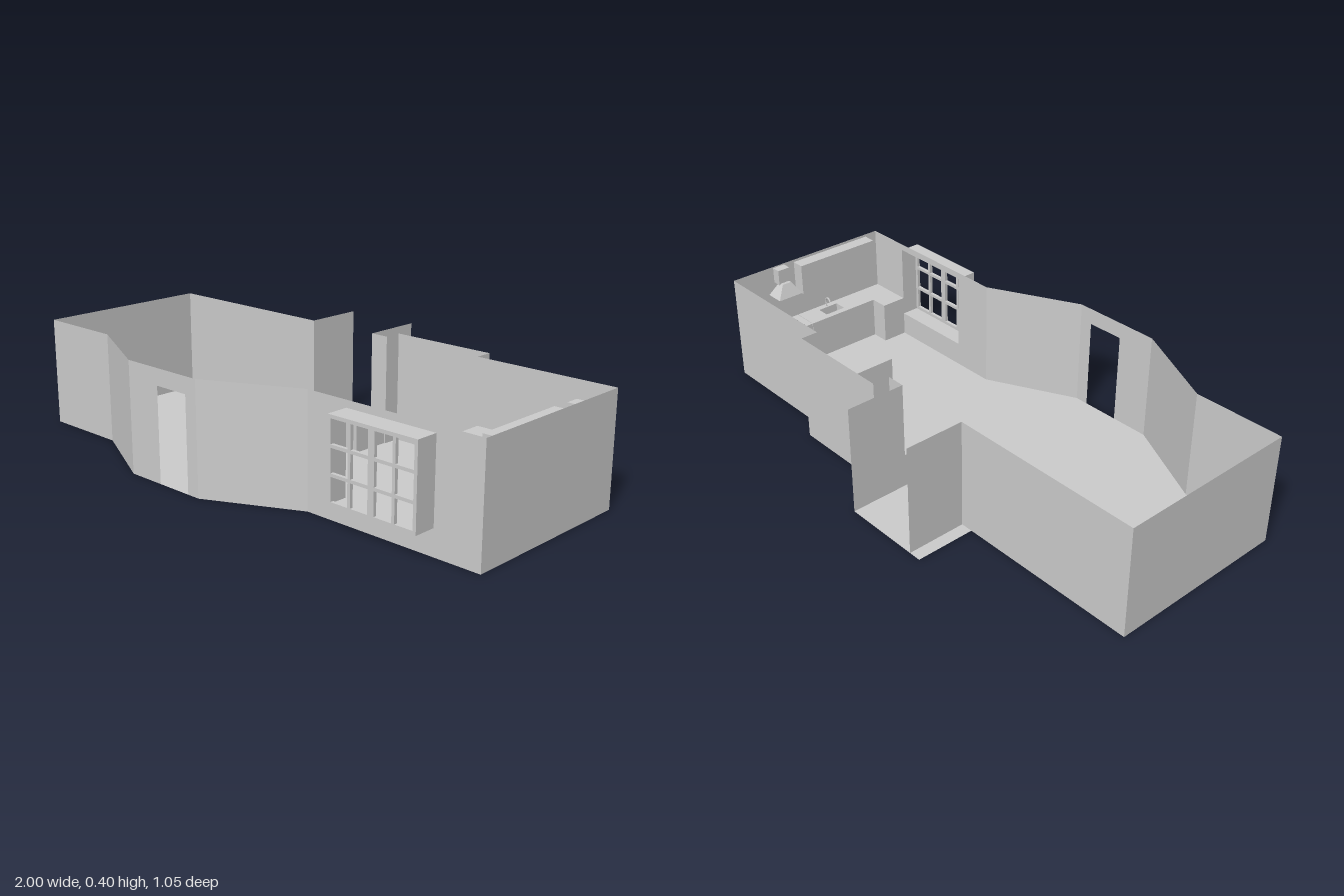
import * as THREE from 'three';
import { RoundedBoxGeometry } from 'three/addons/geometries/RoundedBoxGeometry.js';

const H = 0.4;
const solid = new THREE.MeshStandardMaterial({ color: 0xcccccc, flatShading: true });
const thin = new THREE.MeshStandardMaterial({ color: 0xcccccc, flatShading: true, side: THREE.DoubleSide });

export function createModel() {
  const root = new THREE.Group();

  const add = (name, geometry, material = solid, parent = root) => {
    const mesh = new THREE.Mesh(geometry, material);
    mesh.name = name;
    parent.add(mesh);
    return mesh;
  };
  // Box given by its limits on each axis
  const box = (name, x0, x1, y0, y1, z0, z1, parent = root) => {
    const mesh = add(name, new THREE.BoxGeometry(x1 - x0, y1 - y0, z1 - z0), solid, parent);
    mesh.position.set((x0 + x1) / 2, (y0 + y1) / 2, (z0 + z1) / 2);
    return mesh;
  };
  const group = (name) => {
    const g = new THREE.Group();
    g.name = name;
    root.add(g);
    return g;
  };
  const rect = (C, x0, x1, y0, y1) =>
    new C([[x0, y0], [x1, y0], [x1, y1], [x0, y1]].map((p) => new THREE.Vector2(...p)));

  // Floor following the wall outline, with the entrance recess at the back
  const outline = [
    [-1, -0.31], [-0.335, -0.31], [-0.335, -0.53], [0, -0.53], [0, -0.31], [0.07, -0.31],
    [0.07, -0.375], [0.47, -0.375], [0.47, -0.31], [1, -0.31], [1, 0.36], [0.33, 0.36],
    [0, 0.525], [-0.335, 0.525], [-0.67, 0.36], [-1, 0.36],
  ];
  const floorShape = new THREE.Shape(outline.map(([x, z]) => new THREE.Vector2(x, -z)));
  add('floor', new THREE.ShapeGeometry(floorShape), thin).rotation.x = -Math.PI / 2;

  // Thin walls between neighbouring plan points; an opening is [from, to, bottom, top] along the wall
  const walls = group('walls');
  const wall = ([ax, az], [bx, bz], opening) => {
    const length = Math.hypot(bx - ax, bz - az);
    let shape = rect(THREE.Shape, 0, length, 0, H);
    if (opening) {
      const [s, e, lo, hi] = opening;
      if (lo > 0) shape.holes.push(rect(THREE.Path, s, e, lo, hi));
      else {
        const pts = [[0, 0], [s, 0], [s, hi], [e, hi], [e, 0], [length, 0], [length, H], [0, H]];
        shape = new THREE.Shape(pts.map((p) => new THREE.Vector2(...p)));
      }
    }
    const mesh = add('wall', new THREE.ShapeGeometry(shape), thin, walls);
    mesh.position.set(ax, 0, az);
    mesh.rotation.y = -Math.atan2(bz - az, bx - ax);
  };
  const plan = [
    [-0.29, -0.53], [-0.29, -0.31], [-1, -0.31], [-1, 0.36], [-0.67, 0.36], [-0.335, 0.525],
    [0, 0.525], [0.33, 0.36], [1, 0.36], [1, -0.31], [0.47, -0.31], [0.47, -0.375],
    [0.07, -0.375], [0.07, -0.31], [0, -0.31], [0, -0.53],
  ];
  const openings = { 5: [0.145, 0.285, 0, 0.34], 7: [0.16, 0.5, 0.09, 0.375] }; // doorway, window
  for (let i = 0; i < plan.length - 1; i++) wall(plan[i], plan[i + 1], openings[i]);

  // Projecting window: four thin sides and two sashes of six panes
  const bay = group('windowBox');
  const [wx0, wx1, wy0, wy1] = [0.49, 0.83, 0.09, 0.375];
  for (const x of [wx0, wx1]) {
    const side = add('windowSide', new THREE.PlaneGeometry(0.08, wy1 - wy0), thin, bay);
    side.position.set(x, (wy0 + wy1) / 2, 0.4);
    side.rotation.y = Math.PI / 2;
  }
  for (const y of [wy0, wy1]) {
    const ledge = add('windowLedge', new THREE.PlaneGeometry(wx1 - wx0, 0.08), thin, bay);
    ledge.position.set((wx0 + wx1) / 2, y, 0.4);
    ledge.rotation.x = Math.PI / 2;
  }
  const sash = (x0, x1) => {
    const [w, h] = [x1 - x0, wy1 - wy0];
    const shape = rect(THREE.Shape, 0, w, 0, h);
    const [edge, bar] = [0.012, 0.011];
    const pw = (w - 2 * edge - bar) / 2;
    const ph = (h - 2 * edge - 2 * bar) / 3;
    for (let c = 0; c < 2; c++) {
      for (let r = 0; r < 3; r++) {
        const x = edge + c * (pw + bar);
        const y = edge + r * (ph + bar);
        shape.holes.push(rect(THREE.Path, x, x + pw, y, y + ph));
      }
    }
    const geometry = new THREE.ExtrudeGeometry(shape, { depth: 0.012, bevelEnabled: false });
    add('windowSash', geometry, solid, bay).position.set(x0, wy0, 0.428);
  };
  sash(wx0, 0.66);
  sash(0.66, wx1);

  // Low cabinet by the entrance and the kitchen peninsula
  box('entranceCabinet', 0, 0.065, 0, 0.125, -0.31, -0.16);
  box('peninsula', 0.48, 0.65, 0, 0.16, -0.31, 0.02);

  // L-shaped counter with a sink cut into its top
  const counter = group('counter');
  const base = new THREE.Shape([[0.9, 0.04], [1, 0.04], [1, -0.36], [0.83, -0.36], [0.83, -0.26], [0.9, -0.26]]
    .map((p) => new THREE.Vector2(...p)));
  base.holes.push(rect(THREE.Path, 0.925, 0.975, -0.13, -0.045));
  const baseMesh = add('counterBody', new THREE.ExtrudeGeometry(base, { depth: 0.16, bevelEnabled: false }), solid, counter);
  baseMesh.rotation.x = -Math.PI / 2;
  box('sinkBottom', 0.925, 0.975, 0.11, 0.12, 0.045, 0.13, counter);
  const tap = new THREE.CatmullRomCurve3([[0.985, 0.16], [0.985, 0.19], [0.972, 0.2], [0.958, 0.188]]
    .map(([x, y]) => new THREE.Vector3(x, y, 0.088)));
  add('tap', new THREE.TubeGeometry(tap, 10, 0.003, 6), solid, counter);

  // Wall cabinets above the counter
  box('wallCabinet', 0.95, 1, 0.27, 0.39, -0.04, 0.31);

  // Stove with burners and knobs
  const stove = group('stove');
  box('stoveBody', 0.9, 1, 0, 0.16, -0.185, -0.042, stove);
  for (const x of [0.925, 0.97]) {
    for (const z of [-0.15, -0.08]) {
      const burner = add('burner', new THREE.CylinderGeometry(0.015, 0.015, 0.004, 16), solid, stove);
      burner.position.set(x, 0.162, z);
    }
  }
  for (let i = 0; i < 4; i++) {
    const knob = add('knob', new THREE.CylinderGeometry(0.005, 0.005, 0.006, 10), solid, stove);
    knob.rotation.z = Math.PI / 2;
    knob.position.set(0.897, 0.145, -0.16 + i * 0.03);
  }

  // Extractor hood: flared skirt and chimney
  const hood = group('hood');
  const skirt = add('hoodSkirt', new THREE.CylinderGeometry(0.018, 0.05, 0.05, 4, 1).rotateY(Math.PI / 4), solid, hood);
  skirt.scale.z = 1.5;
  skirt.position.set(0.964, 0.315, -0.11);
  box('hoodChimney', 0.965, 1, 0.335, 0.395, -0.135, -0.085, hood);

  // Refrigerator with rounded edges
  const fridge = add('refrigerator', new RoundedBoxGeometry(0.118, 0.28, 0.105, 3, 0.01),
    new THREE.MeshStandardMaterial({ color: 0xcccccc }));
  fridge.position.set(0.94, 0.14, -0.25);

  return root;
}
